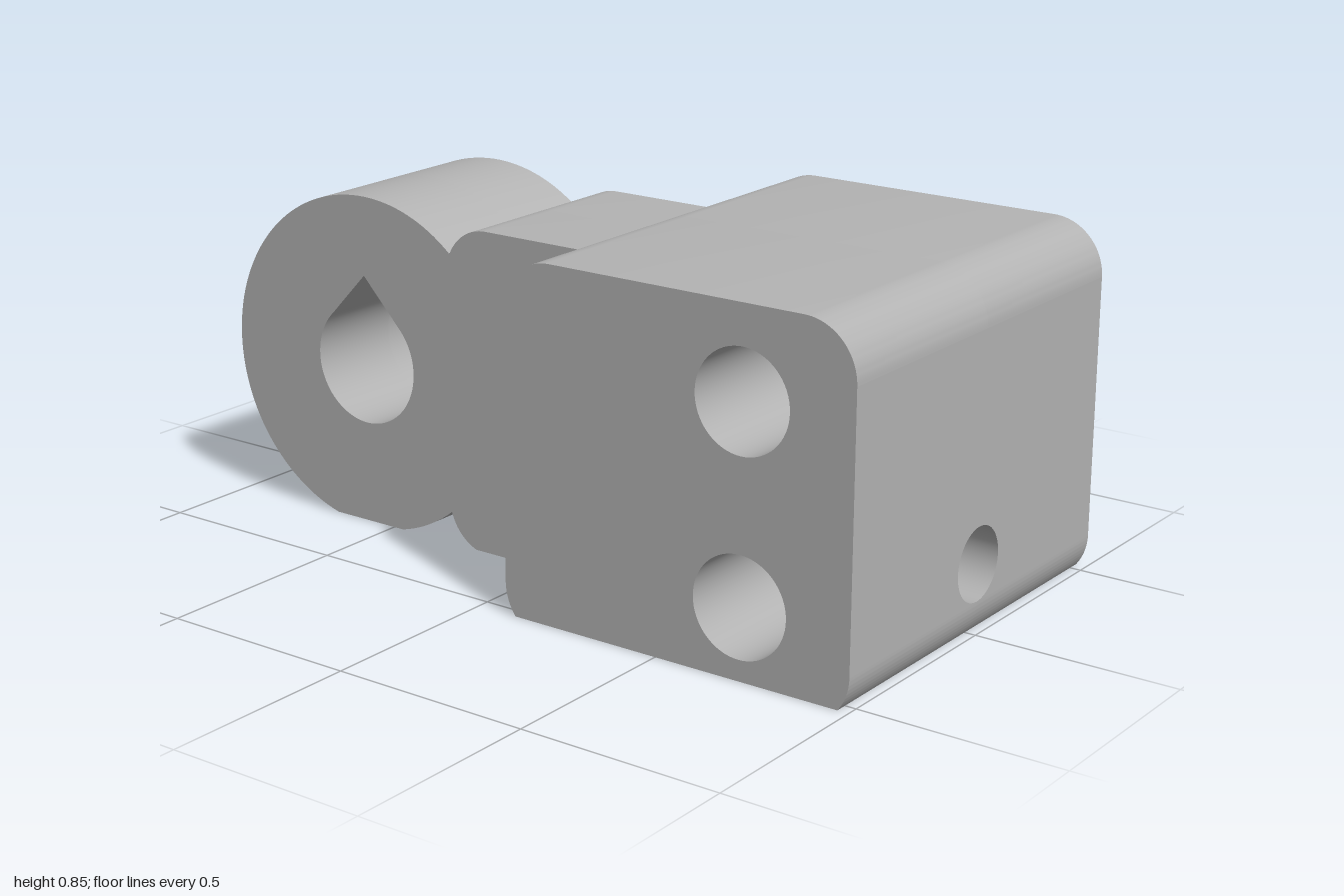
import * as THREE from 'three';
import { mergeGeometries, toCreasedNormals } from 'three/addons/utils/BufferGeometryUtils.js';

const V = (x, y, z) => new THREE.Vector3(x, y, z);
const PI = Math.PI, CREASE = 0.5;

// Points on an arc in a plane, as [a, b] pairs
function arc(cx, cy, r, from, to, n = 24) {
  return Array.from({ length: n + 1 }, (_, i) => {
    const t = from + (to - from) * i / n;
    return [cx + r * Math.cos(t), cy + r * Math.sin(t)];
  });
}

// Ruled surface between two rows of points
function ruled(a, b) {
  const pos = [];
  const push = (...ps) => ps.forEach(p => pos.push(p.x, p.y, p.z));
  for (let i = 0; i < a.length - 1; i++) {
    push(a[i], b[i], b[i + 1]);
    push(a[i], b[i + 1], a[i + 1]);
  }
  const g = new THREE.BufferGeometry();
  g.setAttribute('position', new THREE.Float32BufferAttribute(pos, 3));
  g.computeVertexNormals();
  return toCreasedNormals(g, CREASE);
}

// Wall along an xy profile, mirrored in z, from an inner half width to the outer one
function zWall(profile, outer, inner = () => 0) {
  return mergeGeometries([1, -1].map(s => {
    const near = profile.map(([x, y]) => V(x, y, s * inner(x, y)));
    const far = profile.map(([x, y]) => V(x, y, s * outer));
    return s > 0 ? ruled(far, near) : ruled(near, far);
  }));
}

const path = (pts, Type = THREE.Shape) => new Type(pts.map(p => new THREE.Vector2(...p)));

// Flat plate with holes
function plate(outline, holes = []) {
  const s = path(outline);
  s.holes = holes.map(h => path(h, THREE.Path));
  const g = new THREE.ShapeGeometry(s).toNonIndexed();
  g.deleteAttribute('uv');
  return g;
}

// Front and back faces
function caps(outline, holes, z) {
  return mergeGeometries([
    plate(outline, holes).translate(0, 0, z),
    plate(outline, holes).rotateY(PI).scale(-1, 1, 1).translate(0, 0, -z),
  ].map((g, i) => {
    if (i) { // restore outward winding after mirroring
      const p = g.attributes.position;
      for (let k = 0; k < p.count; k += 3) {
        const a = V(p.getX(k), p.getY(k), p.getZ(k));
        p.setXYZ(k, p.getX(k + 1), p.getY(k + 1), p.getZ(k + 1));
        p.setXYZ(k + 1, a.x, a.y, a.z);
      }
      g.computeVertexNormals();
    }
    return g;
  }));
}

export function createModel() {
  const group = new THREE.Group();
  const grey = new THREE.MeshStandardMaterial({ color: 0xb3b3b3, side: THREE.DoubleSide });
  grey.name = 'plainGrey';
  const add = (name, ...geos) => {
    const m = new THREE.Mesh(geos.length > 1 ? mergeGeometries(geos) : geos[0], grey);
    m.name = name;
    group.add(m);
  };

  // Shared sizes
  const BZ = 0.53, AZ = 0.255;                  // half depths of block and arm
  const boreY = 0.17, boreR = 0.089;            // bore along x
  const holeX = 0.72, holeR = 0.12;             // cross holes along z
  const ceil = 0.21, pr = 0.13, p1 = -0.14, p2 = -0.311, boreEnd = -0.2; // pocket

  // Block
  const cut = Math.asin(0.08 / 0.13);
  const upper = [...arc(0.21, 0.715, 0.13, PI, PI / 2), ...arc(0.87, 0.715, 0.13, PI / 2, 0)];
  const lower = [...arc(0.87, 0.08, 0.13, 0, -cut), ...arc(0.21, 0.08, 0.13, PI + cut, PI)];
  const lowHole = arc(holeX, boreY, holeR, 0, 2 * PI, 64);
  const topHole = arc(holeX, 0.63, holeR, 0, 2 * PI, 64);
  const side = () => plate([[-BZ, 0.08], [BZ, 0.08], [BZ, 0.715], [-BZ, 0.715]],
    [arc(0, boreY, boreR, 0, 2 * PI, 48)]);
  add('blockFaces', caps([...upper, ...lower], [lowHole, topHole], BZ));
  add('blockRoundedWalls', zWall(upper, BZ), zWall(lower, BZ));
  add('blockSides', side().rotateY(PI / 2).translate(1, 0, 0),
    side().rotateY(-PI / 2).translate(0.08, 0, 0));
  const boreHalf = y => Math.sqrt(Math.max(0, boreR ** 2 - (y - boreY) ** 2));
  add('upperCrossHole', zWall(topHole, BZ));
  add('lowerCrossHole', zWall(lowHole, BZ, (x, y) => boreHalf(y)));

  // Bore from the right side, through the lower cross hole, into the pocket
  const bore = (a0, a1, xa, xb) => {
    const ring = arc(0, boreY, boreR, a0, a1, 48);
    return ruled(ring.map(([z, y]) => V(xa(y, z), y, z)), ring.map(([z, y]) => V(xb(y, z), y, z)));
  };
  const holeHalf = y => Math.sqrt(holeR ** 2 - (y - boreY) ** 2);
  const a0 = Math.asin((ceil - boreY) / boreR), chord = boreR * Math.cos(a0);
  const toHole = y => holeX - holeHalf(y);
  add('bore',
    bore(0, 2 * PI, y => holeX + holeHalf(y), () => 1),
    bore(PI - a0, 2 * PI + a0, (y, z) => p1 + Math.sqrt(pr ** 2 - z * z), toHole),
    bore(a0, PI - a0, () => boreEnd, toHole),
    plate(arc(0, boreY, boreR, a0, PI - a0)).rotateY(PI / 2).translate(boreEnd, 0, 0));

  // Arm underside height: flat, small corner, then the round eye
  const ex = -0.578, ey = 0.408, er = 0.422, flat = Math.sqrt(er ** 2 - ey ** 2);
  const bottom = x => {
    if (x <= p2) return Math.max(0, ey - Math.sqrt(er ** 2 - (x - ex) ** 2));
    if (x <= -0.195) return Math.max(0, 0.113 - Math.sqrt(Math.max(0, 0.12 ** 2 - (x + 0.195) ** 2)));
    return 0;
  };
  const pocketHalf = (x, y) => {
    if (y > 0.2 || x > p1 + pr || x < p2 - pr) return 0;
    const d = x > p1 ? x - p1 : x < p2 ? p2 - x : 0;
    return Math.sqrt(Math.max(0, pr * pr - d * d));
  };

  // Arm outline
  const straight = Array.from({ length: 33 }, (_, i) => [p1 + (p2 - p1) * i / 32, pr]);
  const under = [[0.11, 0], ...[
    ...arc(p1, 0, pr, 0, PI / 2), ...straight.slice(1, -1), ...arc(p2, 0, pr, PI / 2, PI),
  ].map(([x]) => [x, bottom(x)]), [ex + flat, 0], [ex - flat, 0]];
  const eye = arc(ex, ey, er, -PI / 2 - Math.asin(flat / er), -2 * PI + Math.atan2(0.323, 0.272), 80);
  const over = [...arc(-0.195, 0.68, 0.12, PI - 0.45, PI / 2, 16), [0.11, 0.8]];
  const drop = [...arc(ex, 0.41, 0.153, PI * 0.75, PI * 2.25, 64), [ex, 0.632], [ex - 0.108, 0.518]];
  add('armFaces', caps([...under, ...eye, ...over], [drop], AZ));
  add('armUnderside', zWall(under, AZ, pocketHalf));
  add('armEyeRim', zWall(eye, AZ));
  add('armNeckTop', zWall([eye[eye.length - 1], ...over], AZ));
  add('teardropHole', zWall(drop, AZ));

  // Pocket under the arm: walls and ceiling, where the bore breaks through
  const ends = arc(p1, 0, pr, -PI / 2, PI / 2, 80);
  const row = (pts, y) => pts.map(([x, z]) => V(x, y(x, z), z));
  const gap = s => (x, z) => Math.abs(z) < boreR
    ? Math.min(ceil, boreY + s * Math.sqrt(boreR ** 2 - z * z)) : boreY;
  const rest = [...straight, ...arc(p2, 0, pr, PI / 2, PI * 1.5, 48),
    ...straight.slice().reverse().map(([x, z]) => [x, -z])];
  add('pocketWalls',
    ruled(row(ends, () => 0), row(ends, gap(-1))),
    ruled(row(ends, gap(1)), row(ends, () => ceil)),
    ruled(row(rest, bottom), row(rest, () => ceil)));
  const ac = Math.asin(chord / pr);
  add('pocketCeiling', plate([
    ...arc(p1, 0, pr, -PI / 2, -ac), [boreEnd, -chord], [boreEnd, chord],
    ...arc(p1, 0, pr, ac, PI / 2), ...arc(p2, 0, pr, PI / 2, PI * 1.5, 48),
  ]).rotateX(PI / 2).translate(0, ceil, 0));

  return group;
}
